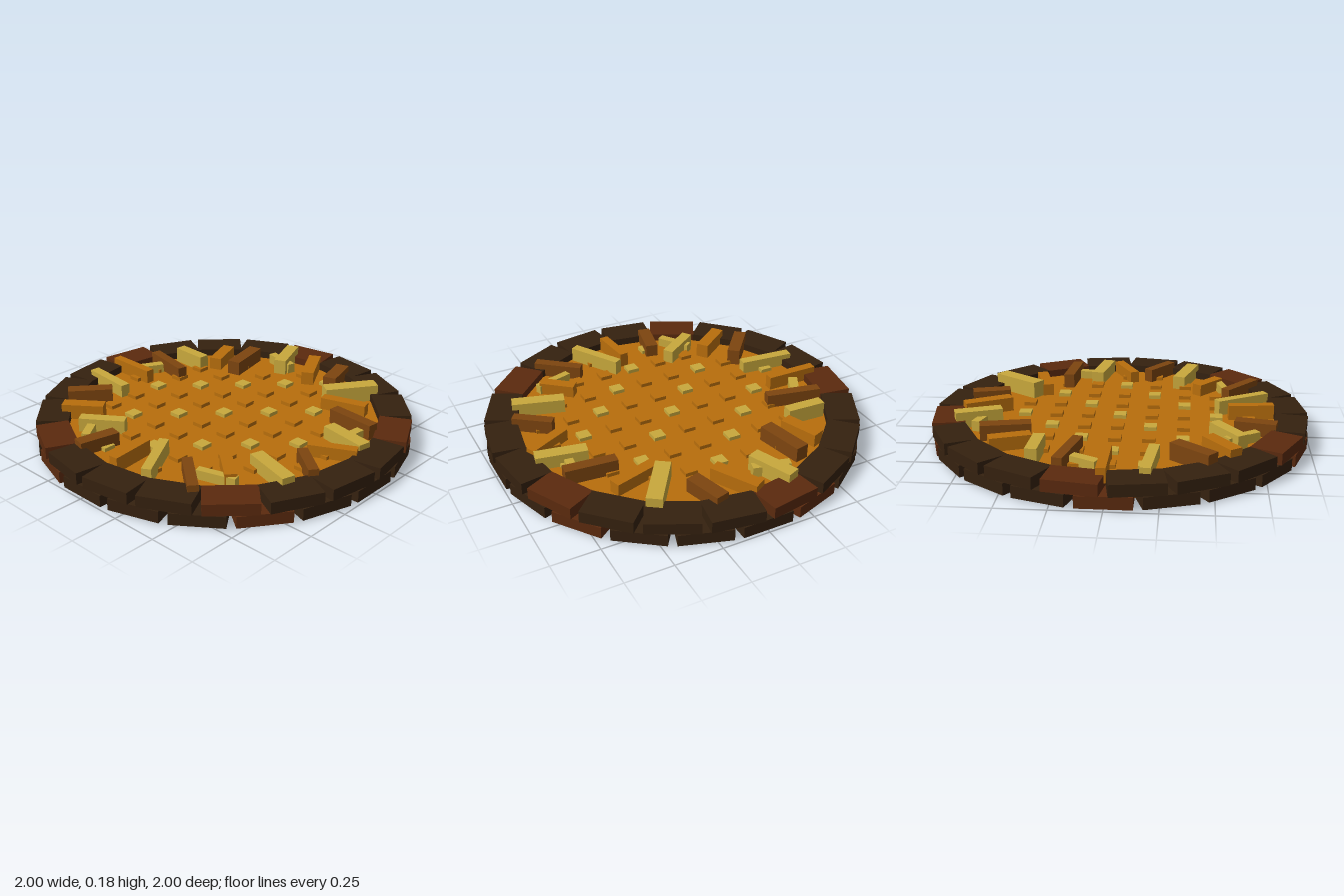
import * as THREE from 'three';

const material = (name, color) => Object.assign(new THREE.MeshStandardMaterial({ color }), { name });

const FLOOR_Y = 0.09;

export function createModel() {
  const model = new THREE.Group();
  model.name = 'strawNest';

  const darkWood = material('dark wood', 0x35210f);
  const redWood = material('reddish wood', 0x5b2a0e);
  const amber = material('amber straw', 0xb86e0c);
  const brown = material('brown straw', 0x7d450f);
  const straw = material('pale straw', 0xc8a83c);

  const addBox = (parent, name, size, position, turn, mat) => {
    const mesh = new THREE.Mesh(new THREE.BoxGeometry(...size), mat);
    mesh.name = name;
    mesh.position.set(...position);
    mesh.rotation.y = turn;
    parent.add(mesh);
  };

  // round bed
  const bed = new THREE.Mesh(new THREE.CylinderGeometry(0.85, 0.85, FLOOR_Y, 48), amber);
  bed.name = 'bed';
  bed.position.y = FLOOR_Y / 2;
  model.add(bed);

  // two staggered rings of blocks, every fourth block reddish
  const COUNT = 20, INNER = 0.82, OUTER = 0.99;
  const mid = (INNER + OUTER) / 2;
  [['lowerRing', 0.038, 0], ['upperRing', 0.1, 0.5]].forEach(([name, y, shift]) => {
    const ring = new THREE.Group();
    ring.name = name;
    for (let i = 0; i < COUNT; i++) {
      const a = ((i + shift) / COUNT) * Math.PI * 2;
      addBox(ring, 'rimBlock', [OUTER - INNER, 0.061, 0.268],
        [Math.cos(a) * mid, y, Math.sin(a) * mid], -a, i % 4 === 3 ? redWood : darkWood);
    }
    model.add(ring);
  });

  // grid of small raised tufts, every third diagonal pale
  const tufts = new THREE.Group();
  tufts.name = 'tufts';
  const STEP = 0.172;
  for (let i = -4; i <= 4; i++) {
    for (let j = -4; j <= 4; j++) {
      if (Math.hypot(i, j) * STEP > 0.72) continue;
      addBox(tufts, 'tuft', [0.066, 0.03, 0.066], [i * STEP, FLOOR_Y + 0.005, j * STEP], 0,
        (i - j) % 3 === 0 ? straw : amber);
    }
  }
  model.add(tufts);

  // loose sticks around the edge: x1, z1, x2, z2, width, top height
  const paleSticks = [
    [-0.18, -0.86, -0.21, -0.56, 0.053, 0.16],
    [0.05, -0.74, 0.18, -0.67, 0.05, 0.14],
    [0.37, -0.71, 0.36, -0.5, 0.06, 0.175],
    [0.73, -0.28, 0.68, -0.09, 0.045, 0.145],
    [0.62, -0.13, 0.85, -0.22, 0.07, 0.175],
    [0.49, 0.3, 0.735, 0.47, 0.08, 0.18],
    [0.18, 0.57, 0.13, 0.83, 0.07, 0.16],
    [0.2, 0.68, 0.3, 0.69, 0.045, 0.135],
    [-0.305, 0.5, -0.385, 0.77, 0.07, 0.165],
    [-0.58, 0.37, -0.52, 0.57, 0.04, 0.14],
    [-0.52, 0.08, -0.79, 0.24, 0.05, 0.17],
    [-0.64, -0.43, -0.5, -0.23, 0.06, 0.165],
    [-0.72, -0.29, -0.56, -0.4, 0.045, 0.14],
  ];
  const amberSticks = [
    [0.02, -0.89, 0.016, -0.6, 0.048, 0.165],
    [0.41, -0.455, 0.61, -0.53, 0.07, 0.16],
    [0.61, 0.085, 0.84, -0.04, 0.07, 0.165],
    [0.44, 0.33, 0.51, 0.57, 0.06, 0.155],
    [-0.04, 0.61, 0.07, 0.83, 0.053, 0.155],
    [-0.41, 0.395, -0.535, 0.545, 0.06, 0.155],
    [-0.82, 0.04, -0.58, 0.015, 0.048, 0.17],
    [-0.6, -0.62, -0.465, -0.44, 0.07, 0.17],
  ];
  const brownSticks = [
    [0.235, -0.785, 0.17, -0.49, 0.053, 0.165],
    [0.43, -0.325, 0.685, -0.38, 0.075, 0.17],
    [0.64, 0.22, 0.84, 0.165, 0.075, 0.165],
    [0.34, 0.48, 0.315, 0.75, 0.06, 0.17],
    [-0.12, 0.635, -0.25, 0.81, 0.053, 0.165],
    [-0.57, 0.29, -0.74, 0.5, 0.053, 0.165],
    [-0.82, -0.225, -0.61, -0.18, 0.07, 0.16],
    [-0.49, -0.715, -0.305, -0.56, 0.07, 0.18],
  ];
  const addSticks = (name, sticks, mat) => {
    const group = new THREE.Group();
    group.name = name;
    for (const [x1, z1, x2, z2, width, top] of sticks) {
      const dx = x2 - x1, dz = z2 - z1;
      addBox(group, 'stick', [Math.hypot(dx, dz), top - FLOOR_Y, width],
        [(x1 + x2) / 2, (top + FLOOR_Y) / 2, (z1 + z2) / 2], -Math.atan2(dz, dx), mat);
    }
    model.add(group);
  };
  addSticks('paleSticks', paleSticks, straw);
  addSticks('amberSticks', amberSticks, amber);
  addSticks('brownSticks', brownSticks, brown);

  return model;
}
